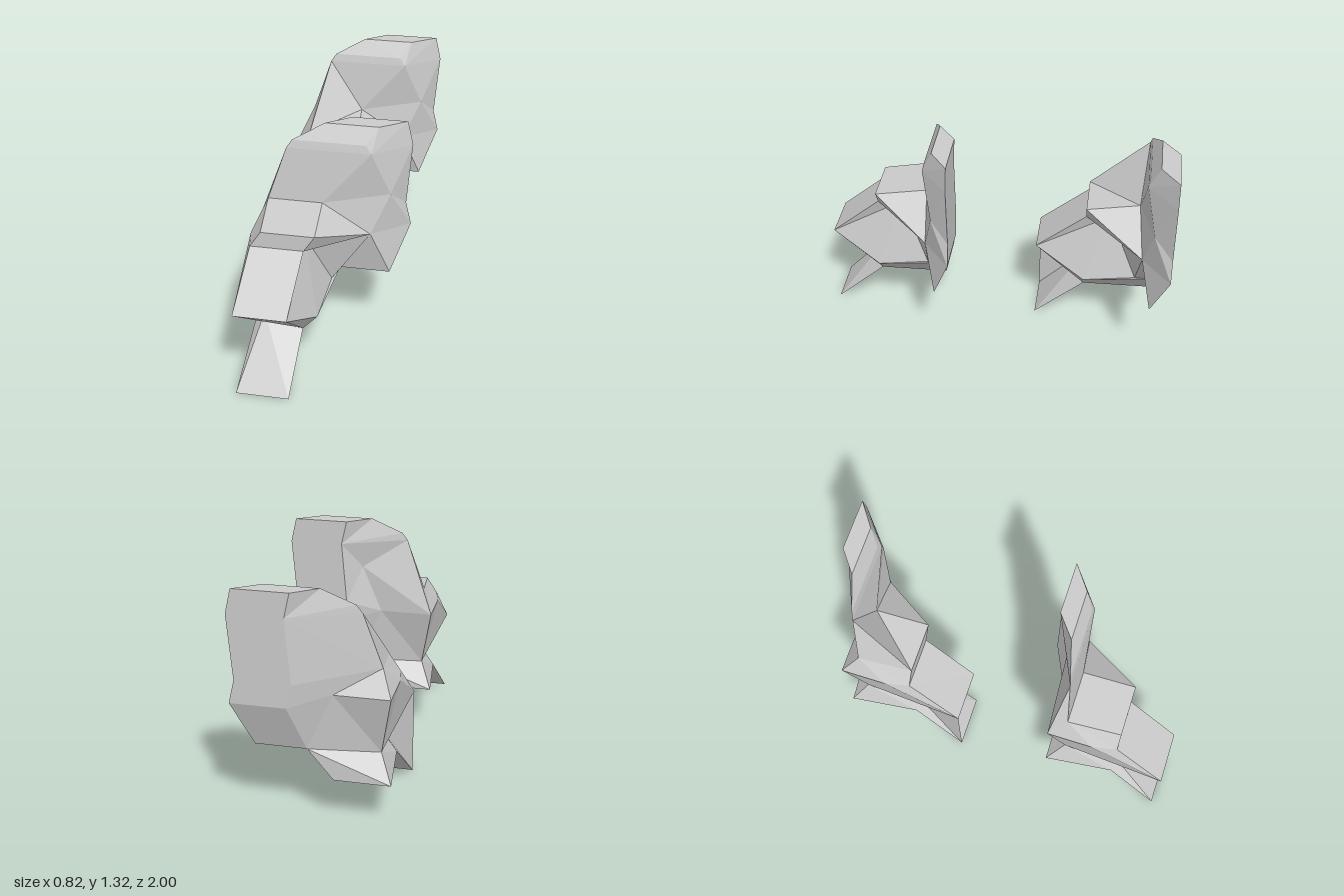
import * as THREE from 'three';

// Cross-section rails: [right-hand x, left-hand x, y, z]; corners are name0 (-x) and name1 (+x)
const rails = {
  crown: [0.08, 0.38, 1.32, 0.22],
  top: [-0.05, 0.24, 1.32, 0.32],
  bevel: [-0.22, 0.18, 1.23, 0.37],
  brow: [-0.25, 0.21, 1.185, 0.38],
  shelf: [-0.35, -0.05, 0.885, 0.41],
  ledge: [-0.32, -0.03, 0.845, 0.71],
  lip: [-0.38, -0.09, 0.755, 0.71],
  under: [-0.41, -0.11, 0.755, 0.57],
  nose: [-0.41, -0.12, 0.5, 1.0],
  chin: [-0.37, -0.1, 0.265, 0.71],
  heel: [-0.415, -0.11, 0.265, 0.32],
  waist: [-0.41, -0.11, 0.755, 0.315],
  hem: [0.03, 0.31, 0.432, 0.32],
  backLow: [0.11, 0.41, 0.7, 0.22],
  backMid: [0.08, 0.38, 0.83, 0.22],
  backHigh: [0.11, 0.41, 1.185, 0.22],
  toe: [-0.41, -0.12, 0, 1.0],
};

// Single corners between the rails
const points = {
  cheek: [0.31, 0.93, 0.325],
  hip: [0.21, 0.7, 0.38],
  tuck: [0, 0.41, 0.41],
  knuckle: [-0.02, 0.35, 0.71],
  ankle: [-0.31, 0.35, 0.71],
  flank: [-0.345, 0.41, 0.41],
  dent: [0, 1.03, 0.3],
};
for (const [name, [x0, x1, y, z]] of Object.entries(rails)) {
  points[name + 0] = [x0, y, z];
  points[name + 1] = [x1, y, z];
}

// Four-sided strips joining consecutive rails
function ribbon(...names) {
  return names.slice(1).map((b, i) => {
    const a = names[i];
    return `${a}0 ${b}0 ${b}1 ${a}1`;
  });
}

// Faceted mesh from polygons given as corner names, each cut into a fan
function facets(name, polygons) {
  const pos = [];
  for (const poly of polygons) {
    const c = poly.split(' ').map((n) => points[n]);
    for (let i = 1; i < c.length - 1; i++) pos.push(...c[0], ...c[i], ...c[i + 1]);
  }
  const geo = new THREE.BufferGeometry();
  geo.setAttribute('position', new THREE.Float32BufferAttribute(pos, 3));
  geo.computeVertexNormals();
  const mat = new THREE.MeshStandardMaterial({
    color: 0xcccccc, flatShading: true, side: THREE.DoubleSide,
  });
  const mesh = new THREE.Mesh(geo, mat);
  mesh.name = name;
  return mesh;
}

// The front block has a shelf and a dented side
const shelved = [
  ...ribbon('brow', 'shelf', 'ledge'),
  'brow0 waist0 shelf0',
  'dent waist1 waist0 brow0', 'dent brow0 backHigh0',
  'dent backHigh0 backMid0', 'dent backMid0 waist1',
];

// The rear block runs straight from brow to ledge
const sloped = [
  'brow0 ledge0 shelf1', 'brow0 shelf0 ledge0', 'ledge0 ledge1 shelf1', 'brow0 shelf1 brow1',
  'backHigh0 backMid0 shelf0 brow0', 'shelf0 backMid0 waist1 waist0',
];

function makeBlock(name, slabFaces, footFaces) {
  const block = new THREE.Group();
  block.name = name;

  // Tall upper slab
  block.add(facets('upperSlab', [
    ...ribbon('hem', 'backLow', 'backMid', 'backHigh', 'crown', 'top', 'bevel', 'brow'),
    ...slabFaces,
    // +x side
    'brow1 backHigh1 crown1 top1 bevel1',
    'shelf1 cheek brow1', 'shelf1 hip cheek',
    'brow1 cheek backHigh1', 'cheek backMid1 backHigh1',
    'cheek backLow1 backMid1', 'cheek hip backLow1', 'hip hem1 backLow1',
    // -x side
    'backHigh0 brow0 bevel0 top0 crown0',
    'backMid0 backLow0 waist1', 'backLow0 hem0 waist1',
  ]));

  // Projecting lower body
  block.add(facets('lowerBody', [
    ...ribbon('ledge', 'lip', 'nose'),
    ...ribbon('chin', 'heel'),
    // underside of the nose
    'nose0 ankle chin1 nose1', 'nose1 chin1 knuckle', 'chin0 chin1 ankle',
    // rear
    'heel0 flank hem0 heel1', 'waist1 hem0 flank', 'waist1 flank waist0',
    // -x side
    'shelf0 waist0 under0 lip0 ledge0', 'waist0 flank under0', 'under0 nose0 lip0',
    'under0 flank nose0', 'flank ankle nose0', 'flank heel0 chin0 ankle',
    // +x side
    'chin1 heel1 knuckle', 'heel1 hem0 knuckle', 'knuckle hem0 tuck',
    'nose1 under1 lip1', 'nose1 knuckle under1', 'knuckle tuck under1',
    'under1 tuck hip', 'lip1 under1 hip',
    'tuck hem0 hip', 'hem0 hem1 hip', 'ledge1 lip1 hip', 'ledge1 hip shelf1',
  ]));

  // Thin wedge foot
  block.add(facets('foot', [
    'toe0 toe1 ankle', 'toe1 chin1 ankle', 'toe0 chin0 chin1 toe1', 'toe0 ankle chin0',
    ...footFaces,
  ]));
  return block;
}

export function createModel() {
  const model = new THREE.Group();
  model.name = 'facetedPair';
  const front = makeBlock('frontBlock', shelved, []);
  // The rear foot carries a fin up to the nose
  const rear = makeBlock('rearBlock', sloped, ['nose0 ankle toe0']);
  rear.position.z = -1.22;
  model.add(front, rear);
  return model;
}
